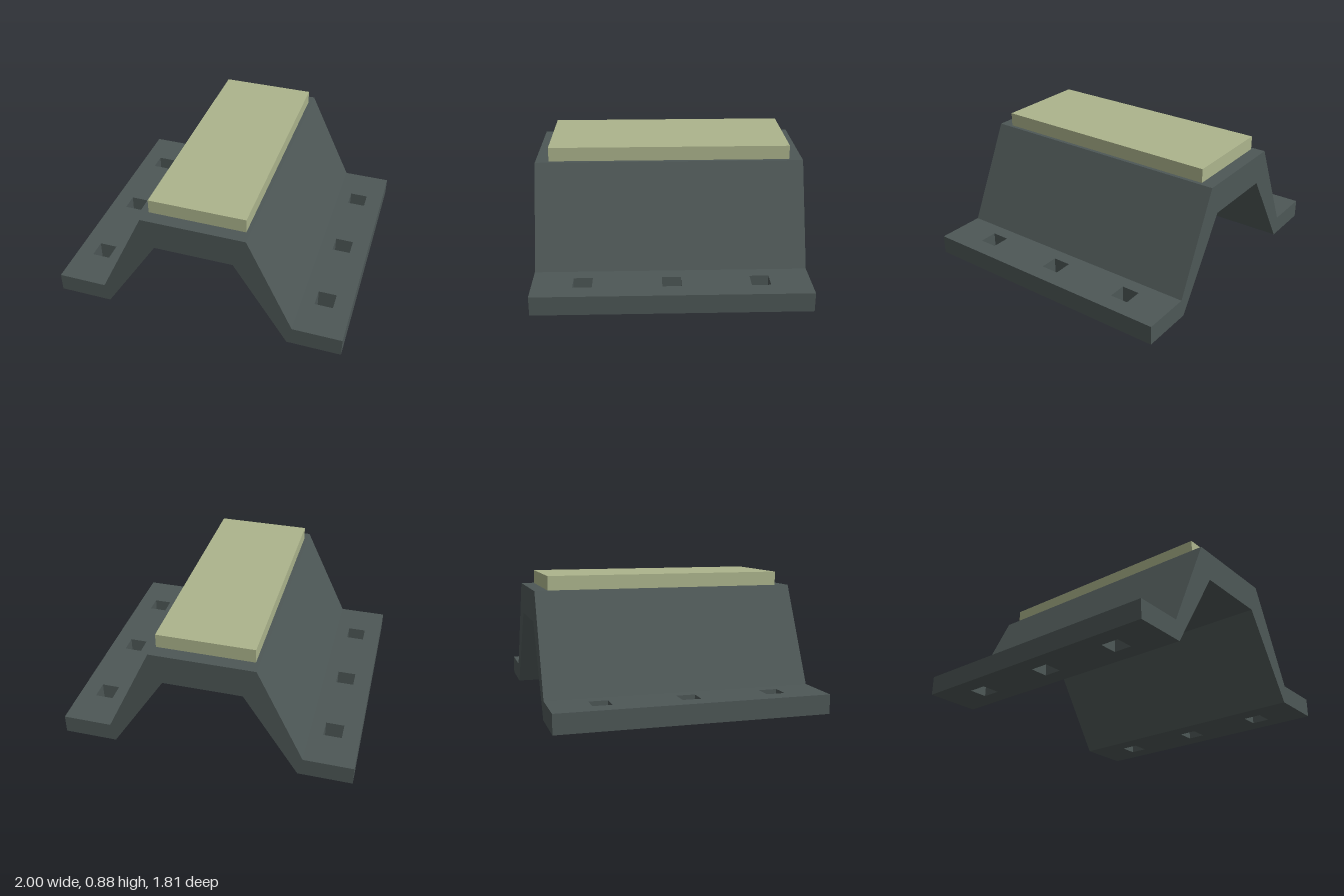
import * as THREE from 'three';

const HALF_DEPTH = 0.905;
const SEAM = 0.665; // x where each flange meets the arch
const FLANGE_H = 0.13;
const TOP = 0.79;

const steel = new THREE.MeshStandardMaterial({ color: 0x4d5756 });
const padMaterial = new THREE.MeshStandardMaterial({ color: 0xacb48c });

function shapeFrom(points) {
  return new THREE.Shape(points.map(([x, y]) => new THREE.Vector2(x, y)));
}

function extrude(shape, depth) {
  return new THREE.ExtrudeGeometry(shape, { depth, bevelEnabled: false });
}

// Remove the hidden faces lying on the seam between arch and flange
function openSeam(geometry) {
  const p = geometry.attributes.position;
  const kept = [];
  for (let i = 0; i < p.count; i += 3) {
    const onSeam = [0, 1, 2].every((k) => Math.abs(Math.abs(p.getX(i + k)) - SEAM) < 1e-5);
    if (!onSeam) for (let k = 0; k < 3; k++) kept.push(p.getX(i + k), p.getY(i + k), p.getZ(i + k));
  }
  const open = new THREE.BufferGeometry();
  open.setAttribute('position', new THREE.Float32BufferAttribute(kept, 3));
  open.computeVertexNormals();
  return open;
}

function addMesh(group, name, geometry, material) {
  const mesh = new THREE.Mesh(geometry, material);
  mesh.name = name;
  group.add(mesh);
}

export function createModel() {
  const group = new THREE.Group();
  group.name = 'mountingBracket';

  // Raised arch: one half of the profile, mirrored, run along z
  const inner = [[0.265, 0.58], [0.635, 0], [SEAM, 0]];
  const outer = [[SEAM, FLANGE_H], [0.35, TOP]];
  const half = [...inner, ...outer];
  const mirrored = half.map(([x, y]) => [-x, y]).reverse();
  const arch = extrude(shapeFrom([...half, ...mirrored]), HALF_DEPTH * 2);
  arch.translate(0, 0, -HALF_DEPTH);
  addMesh(group, 'arch', openSeam(arch), steel);

  // Flat flanges, each with three square bolt holes
  for (const [name, side] of [['leftFlange', 1], ['rightFlange', -1]]) {
    const rect = (x0, x1, z0, z1) => [[x0, z0], [x1, z0], [x1, z1], [x0, z1]];
    const plate = shapeFrom(rect(side * SEAM, side, -HALF_DEPTH, HALF_DEPTH));
    const h = 0.0625;
    for (const z of [-0.577, 0, 0.577]) {
      const x = side * 0.818;
      plate.holes.push(shapeFrom(rect(x - h, x + h, z - h, z + h)));
    }
    const flange = extrude(plate, FLANGE_H);
    flange.rotateX(-Math.PI / 2);
    addMesh(group, name, openSeam(flange), steel);
  }

  // Pad resting on the arch
  const pad = new THREE.BoxGeometry(0.65, 0.095, 1.63);
  pad.translate(0, TOP + 0.0475, 0);
  addMesh(group, 'topPad', pad, padMaterial);

  return group;
}
